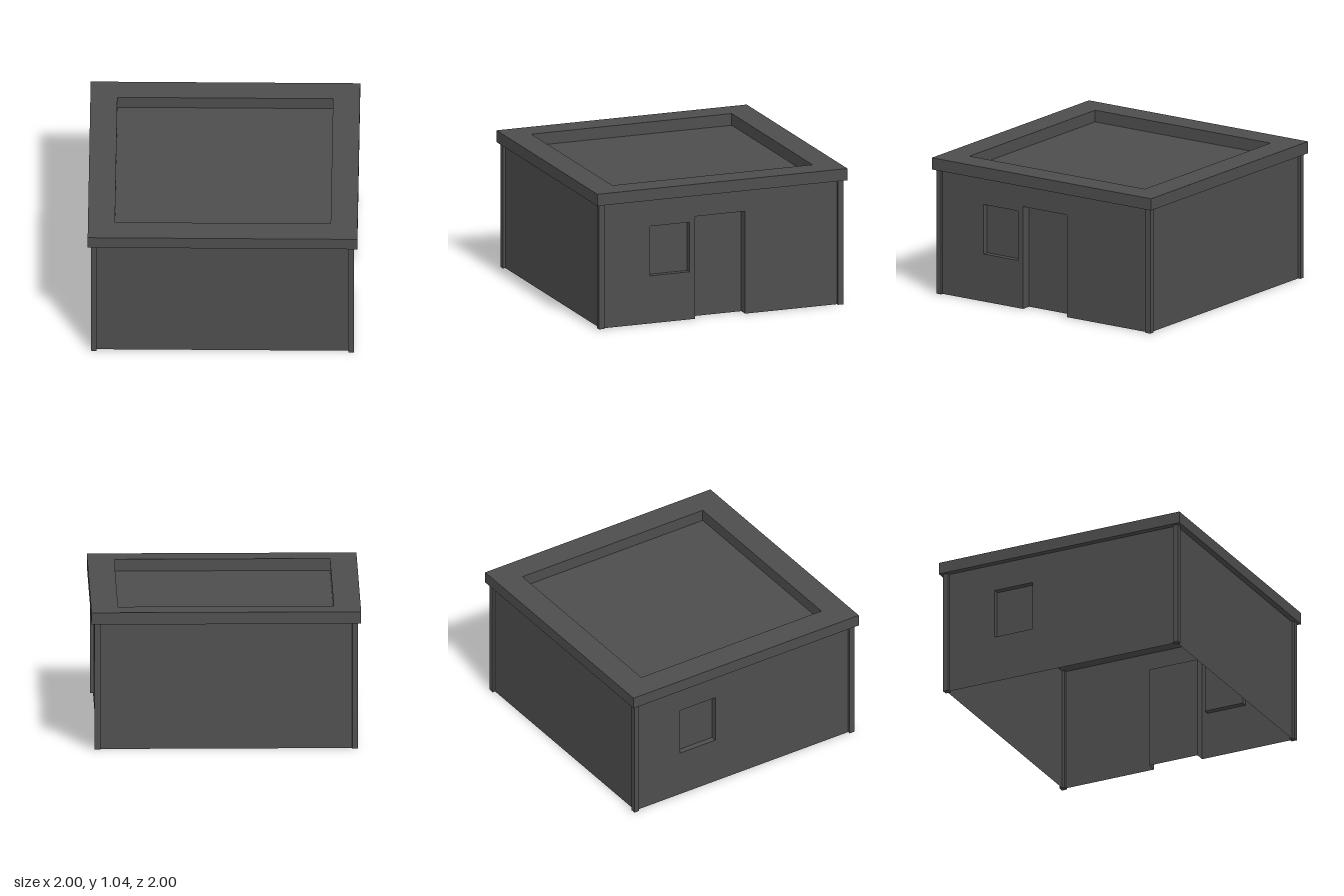
import * as THREE from 'three';

const WALL = 0.955;   // wall plane distance from the centre
const EAVE = 0.955;   // wall height
const TOP = 1.045;    // parapet height

const concrete = new THREE.MeshStandardMaterial({ color: 0x4d4d4d, side: THREE.DoubleSide });
concrete.name = 'dark grey concrete';

const WINDOW = { name: 'window', x0: -0.56, x1: -0.245, y0: 0.365, y1: 0.745, depth: 0.045, sill: true };
const DOOR = { name: 'door', x0: -0.2, x1: 0.2, y0: 0, y1: 0.785, depth: 0.078, sill: false };

function add(parent, name, geometry, x = 0, y = 0, z = 0) {
  const mesh = new THREE.Mesh(geometry, concrete);
  mesh.name = name;
  mesh.position.set(x, y, z);
  parent.add(mesh);
  return mesh;
}

// Rectangle outline for shapes and holes
function rect(path, x0, y0, x1, y1) {
  path.moveTo(x0, y0);
  path.lineTo(x1, y0);
  path.lineTo(x1, y1);
  path.lineTo(x0, y1);
  path.closePath();
  return path;
}

// Shallow niche set into a wall: back panel, jambs, lintel and optional sill
function addRecess(wall, o) {
  const w = o.x1 - o.x0, h = o.y1 - o.y0;
  const cx = (o.x0 + o.x1) / 2, cy = (o.y0 + o.y1) / 2, d = o.depth;
  add(wall, o.name + 'Panel', new THREE.PlaneGeometry(w, h), cx, cy, -d);
  add(wall, o.name + 'Jamb', new THREE.PlaneGeometry(d, h), o.x0, cy, -d / 2).rotation.y = Math.PI / 2;
  add(wall, o.name + 'Jamb', new THREE.PlaneGeometry(d, h), o.x1, cy, -d / 2).rotation.y = -Math.PI / 2;
  add(wall, o.name + 'Lintel', new THREE.PlaneGeometry(w, d), cx, o.y1, -d / 2).rotation.x = Math.PI / 2;
  if (o.sill) add(wall, o.name + 'Sill', new THREE.PlaneGeometry(w, d), cx, o.y0, -d / 2).rotation.x = -Math.PI / 2;
}

// Thin wall sheet, turned to face outward
function makeWall(name, angle, openings) {
  const wall = new THREE.Group();
  wall.name = name;
  const shape = new THREE.Shape();
  shape.moveTo(-WALL, 0);
  for (const o of openings.filter((p) => !p.sill)) {
    shape.lineTo(o.x0, 0);
    shape.lineTo(o.x0, o.y1);
    shape.lineTo(o.x1, o.y1);
    shape.lineTo(o.x1, 0);
  }
  shape.lineTo(WALL, 0);
  shape.lineTo(WALL, EAVE);
  shape.lineTo(-WALL, EAVE);
  shape.closePath();
  for (const o of openings.filter((p) => p.sill)) {
    shape.holes.push(rect(new THREE.Path(), o.x0, o.y0, o.x1, o.y1));
  }
  add(wall, name + 'Sheet', new THREE.ShapeGeometry(shape));
  openings.forEach((o) => addRecess(wall, o));
  wall.rotation.y = angle;
  wall.position.set(Math.sin(angle) * WALL, 0, Math.cos(angle) * WALL);
  return wall;
}

export function createModel() {
  const model = new THREE.Group();
  model.name = 'flatRoofedHut';

  // Four walls: door and window on +x, window on -x
  model.add(
    makeWall('frontWall', 0, []),
    makeWall('doorWall', Math.PI / 2, [WINDOW, DOOR]),
    makeWall('backWall', Math.PI, []),
    makeWall('windowWall', -Math.PI / 2, [WINDOW]),
  );

  // Corner posts
  for (const sx of [-1, 1]) {
    for (const sz of [-1, 1]) {
      add(model, 'cornerPost', new THREE.BoxGeometry(0.042, EAVE, 0.042), sx * WALL, EAVE / 2, sz * WALL);
    }
  }

  // Parapet ring around the sunken roof
  const ring = rect(new THREE.Shape(), -1, -1, 1, 1);
  ring.holes.push(rect(new THREE.Path(), -0.8, -0.8, 0.8, 0.8));
  const parapet = new THREE.ExtrudeGeometry(ring, { depth: TOP - EAVE, bevelEnabled: false });
  parapet.rotateX(-Math.PI / 2);
  add(model, 'parapet', parapet, 0, EAVE, 0);

  // Sunken roof deck
  const deck = new THREE.PlaneGeometry(1.6, 1.6);
  deck.rotateX(-Math.PI / 2);
  add(model, 'roofDeck', deck, 0, EAVE, 0);

  return model;
}
